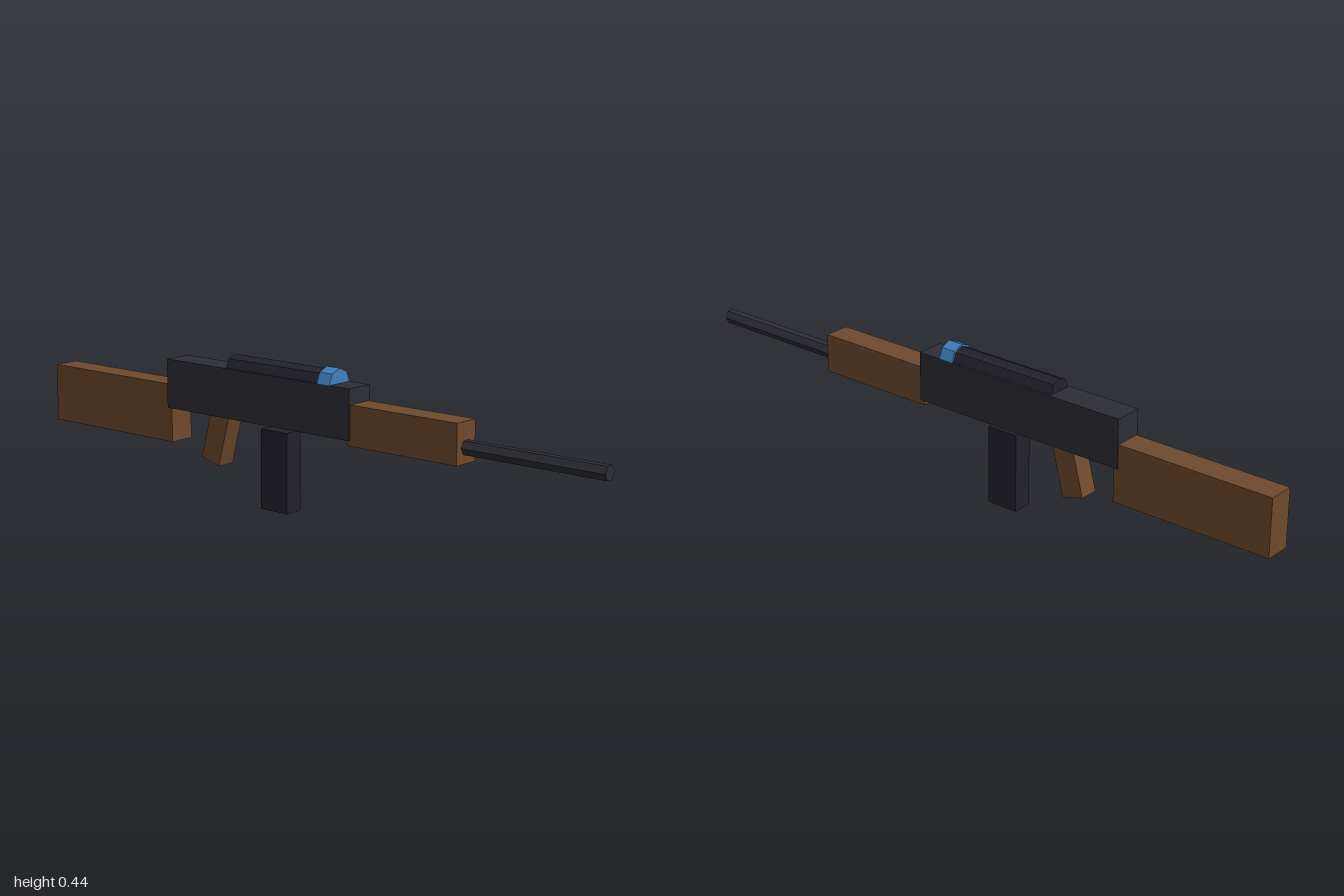
import * as THREE from 'three';

const material = (name, color) => {
  const m = new THREE.MeshStandardMaterial({ color, flatShading: true });
  m.name = name;
  return m;
};

export function createModel() {
  const model = new THREE.Group();
  model.name = 'rifle';
  const metal = material('gunmetal', 0x2d2e36);
  const dark = material('dark steel', 0x23222d);
  const wood = material('walnut wood', 0x6f4a2d);
  const glass = material('blue lens', 0x3f80bf);

  const add = (name, geometry, mat) => {
    const mesh = new THREE.Mesh(geometry, mat);
    mesh.name = name;
    model.add(mesh);
    return mesh;
  };

  // Box spanning a height and depth range, centred on x
  const block = (name, width, [y0, y1], [z0, z1], mat) =>
    add(name, new THREE.BoxGeometry(width, y1 - y0, z1 - z0), mat)
      .position.set(0, (y0 + y1) / 2, (z0 + z1) / 2);

  // Faceted rod lying along z
  const rod = (name, radius, sides, y, [z0, z1], mat, turn = 0) => {
    const g = new THREE.CylinderGeometry(radius, radius, z1 - z0, sides);
    g.rotateY(turn).rotateX(Math.PI / 2);
    add(name, g, mat).position.set(0, y, (z0 + z1) / 2);
  };

  // Body and furniture
  block('receiver', 0.087, [0.25, 0.396], [-0.517, 0.181], metal);
  block('handguard', 0.08, [0.235, 0.351], [0.17, 0.548], wood);
  block('stock', 0.08, [0.148, 0.321], [-1, -0.503], wood);
  block('magazine', 0.059, [0, 0.235], [-0.159, -0.06], dark);

  // Pistol grip, raked backwards
  const grip = add('grip', new THREE.BoxGeometry(0.058, 0.17, 0.07), wood);
  grip.position.set(0, 0.191, -0.337);
  grip.rotation.x = THREE.MathUtils.degToRad(15);

  // Barrel, scope and lens
  rod('barrel', 0.022, 6, 0.28, [0.5, 1], metal, Math.PI / 6);
  rod('scope', 0.037, 8, 0.396, [-0.285, 0.085], dark);
  rod('scopeLens', 0.043, 8, 0.396, [0.063, 0.109], glass);

  return model;
}
